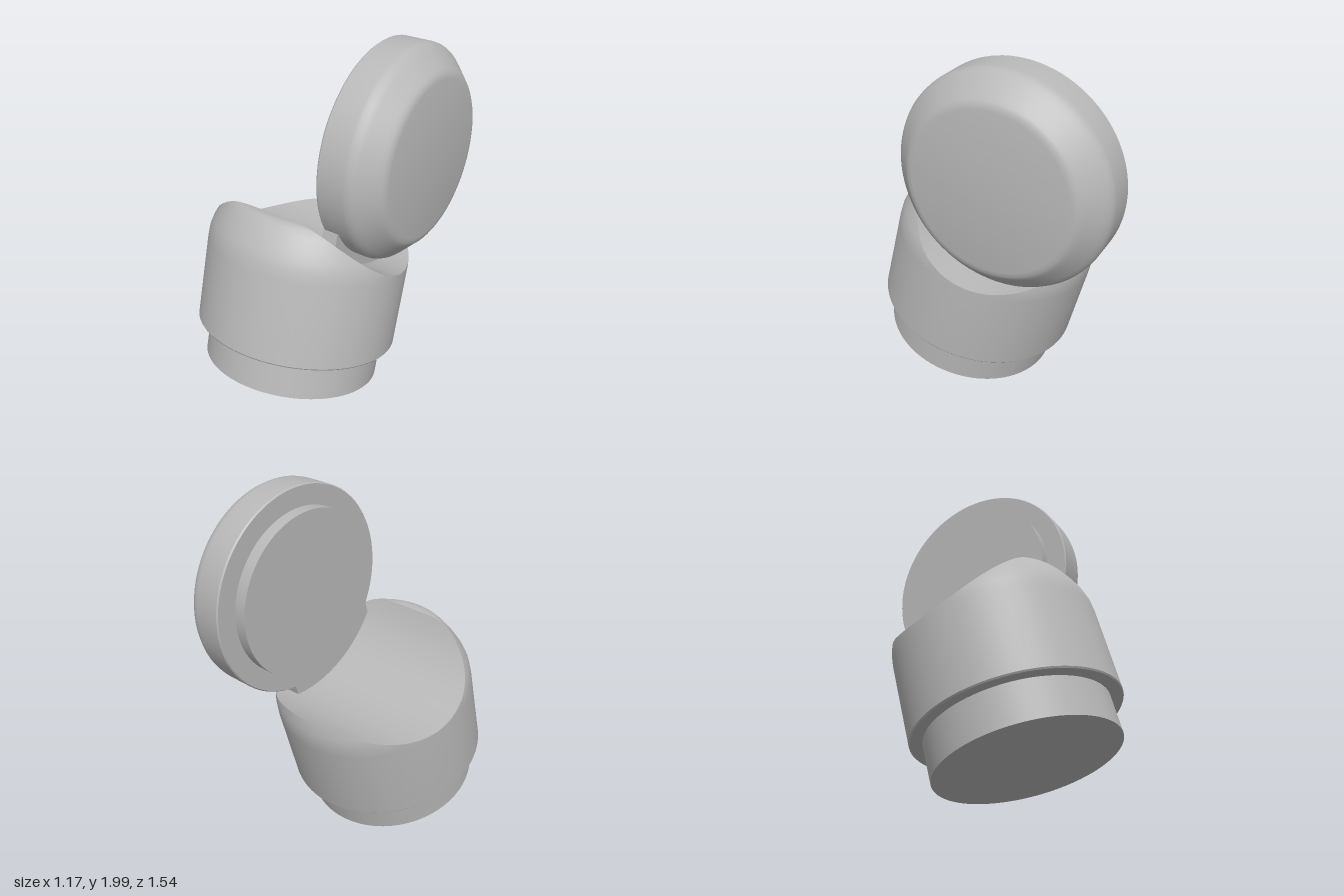
import * as THREE from 'three';
import { toCreasedNormals } from 'three/addons/utils/BufferGeometryUtils.js';

const SEG = 96;

// Outer profile of the body as [radius, height], from the bottom lip to the top
const bodyProfile = [
  [0.48, 0.213], [0.564, 0.213], [0.57, 0.221], [0.57, 0.69], [0.566, 0.75], [0.553, 0.8],
  [0.53, 0.855], [0.499, 0.915], [0.479, 0.945], [0.46, 0.96], [0.435, 0.966], [0.35, 0.967],
];

// Height of the round trough that is cut across the top of the body
const trough = (z) => 1.349 - Math.sqrt(0.645 ** 2 - (z + 0.109) ** 2);

function profileAt(t) {
  const i = Math.min(Math.floor(t), bodyProfile.length - 2);
  const [a, b] = [bodyProfile[i], bodyProfile[i + 1]];
  return [0, 1].map((k) => a[k] + (b[k] - a[k]) * (t - i));
}

// Point on the profile where it meets the trough, for one direction
function rimParameter(cos) {
  let lo = 2, hi = bodyProfile.length - 1;
  for (let i = 0; i < 40; i++) {
    const mid = (lo + hi) / 2;
    const [r, h] = profileAt(mid);
    if (h < trough(r * cos)) lo = mid; else hi = mid;
  }
  return lo;
}

// Turned body whose wall stops at the trough, closed by the trough surface
function bodyGeometry() {
  const wallRows = bodyProfile.length, troughRows = 14;
  const rows = wallRows + troughRows;
  const positions = [], index = [];
  for (let j = 0; j <= SEG; j++) {
    const angle = ((j % SEG) / SEG) * Math.PI * 2;
    const sin = Math.sin(angle), cos = Math.cos(angle);
    const rim = rimParameter(cos);
    const rimRadius = profileAt(rim)[0];
    for (let i = 0; i < rows; i++) {
      let r, h;
      if (i < wallRows) {
        [r, h] = profileAt(Math.min(i, rim));
      } else {
        r = rimRadius * (1 - (i - wallRows + 1) / troughRows);
        h = trough(r * cos);
      }
      positions.push(r * sin, h, r * cos);
    }
  }
  for (let j = 0; j < SEG; j++) {
    for (let i = 0; i < rows - 1; i++) {
      const a = j * rows + i, b = a + rows;
      index.push(a, b, b + 1, a, b + 1, a + 1);
    }
  }
  const geometry = new THREE.BufferGeometry();
  geometry.setAttribute('position', new THREE.Float32BufferAttribute(positions, 3));
  geometry.setIndex(index);
  return toCreasedNormals(geometry, 0.6);
}

function turned(points) {
  const profile = points.map(([r, y]) => new THREE.Vector2(r, y));
  return toCreasedNormals(new THREE.LatheGeometry(profile, SEG), 0.6);
}

export function createModel() {
  const model = new THREE.Group();
  const gray = new THREE.MeshStandardMaterial({ color: 0xb8b8b8 });
  gray.name = 'gray';

  const add = (parent, name, geometry) => {
    const mesh = new THREE.Mesh(geometry, gray);
    mesh.name = name;
    parent.add(mesh);
    return mesh;
  };

  // Tilted lower joint: plug, body with trough, connecting block
  const lower = new THREE.Group();
  lower.name = 'lowerJoint';
  lower.position.set(-0.015, 0.135, 0.2775);
  lower.rotation.x = -Math.PI / 12;
  model.add(lower);
  add(lower, 'plug', new THREE.CylinderGeometry(0.5, 0.5, 0.22, SEG)).position.y = 0.11;
  add(lower, 'body', bodyGeometry());
  add(lower, 'connectingBlock', new THREE.BoxGeometry(0.085, 0.35, 0.665)).position.set(0.33, 0.775, 0.003);

  // Upright side disc with its inner collar, turned about the x axis
  const upper = new THREE.Group();
  upper.name = 'sideDisc';
  upper.position.set(0, 1.41, -0.177);
  upper.rotation.z = -Math.PI / 2;
  model.add(upper);
  add(upper, 'disc', turned([
    [0, 0.265], [0.584, 0.265], [0.59, 0.273], [0.59, 0.42], [0.587, 0.442], [0.576, 0.464],
    [0.556, 0.486], [0.49, 0.551], [0.472, 0.569], [0.455, 0.58], [0.43, 0.585], [0, 0.585],
  ]));
  add(upper, 'collar', new THREE.CylinderGeometry(0.473, 0.473, 0.08, SEG)).position.y = 0.235;

  return model;
}
